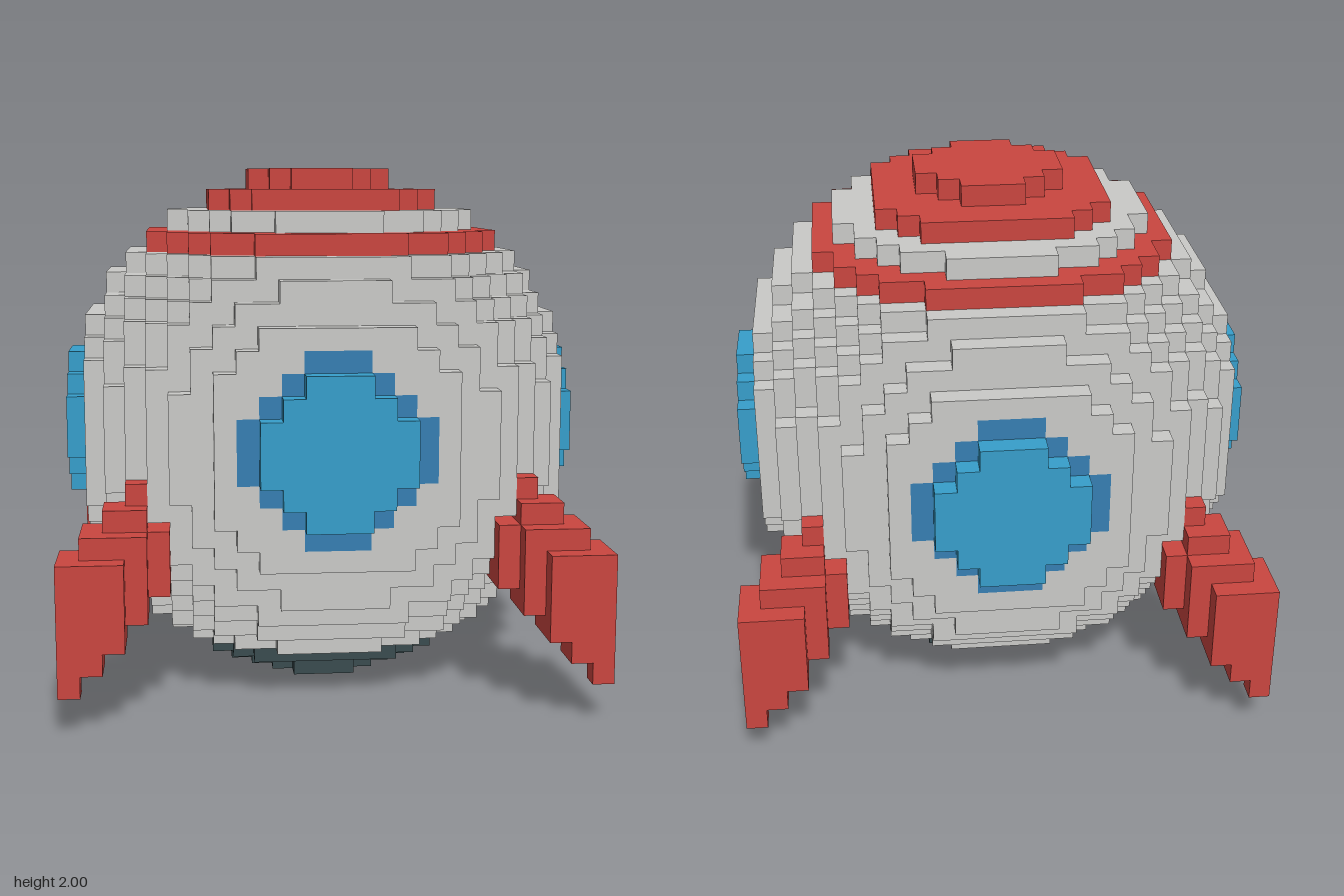
import * as THREE from 'three';

const S = 0.08;      // edge of one block
const N = 12;        // the grid runs from -N to N on each axis
const FIN_DROP = 0.016;

const paint = (name, color) => Object.assign(new THREE.MeshStandardMaterial({ color }), { name });

// Builds the outer faces of every block in "part" that does not touch another block of "solid"
function blockMesh(name, material, part, solid = part, drop = 0) {
  const positions = [], normals = [], index = [];
  const corners = [[-1, -1], [1, -1], [1, 1], [-1, 1]];
  for (let x = -N; x <= N; x++) for (let y = -N; y <= N; y++) for (let z = -N; z <= N; z++) {
    if (!part(x, y, z)) continue;
    for (let axis = 0; axis < 3; axis++) for (const side of [-1, 1]) {
      const n = [0, 0, 0];
      n[axis] = side;
      if (solid(x + n[0], y + n[1], z + n[2])) continue;
      const start = positions.length / 3;
      for (const [u, v] of corners) {
        const p = [x, y, z];
        p[axis] += side / 2;
        p[(axis + 1) % 3] += u * side / 2;
        p[(axis + 2) % 3] += v / 2;
        positions.push(p[0] * S, p[1] * S + 1 - drop, p[2] * S);
        normals.push(...n);
      }
      index.push(start, start + 1, start + 2, start, start + 2, start + 3);
    }
  }
  const geometry = new THREE.BufferGeometry();
  geometry.setAttribute('position', new THREE.Float32BufferAttribute(positions, 3));
  geometry.setAttribute('normal', new THREE.Float32BufferAttribute(normals, 3));
  geometry.setIndex(index);
  const mesh = new THREE.Mesh(geometry, material);
  mesh.name = name;
  return mesh;
}

// Ball with a wider nozzle ring as its lowest layer
function hull(x, y, z) {
  const r2 = x * x + z * z;
  if (y === -N) return r2 <= 17 && r2 > 5;
  return r2 + y * y <= 156;
}

// Which painted part a hull block belongs to
function zone(x, y, z) {
  if (!hull(x, y, z)) return null;
  if (y <= -11) return 'nozzle';
  if (y >= 11) return 'cap';
  if (y === 9) return 'stripe';
  const far = Math.max(Math.abs(x), Math.abs(z));
  if (far === 12) return 'windows';
  const near = Math.min(Math.abs(x), Math.abs(z));
  if (far === 11 && near * near + y * y <= 17) return 'windowFrames';
  return 'body';
}

// Diagonal fin: swept downward away from the hull, thinner toward its top
function fin(x, y, z) {
  const a = Math.max(x, z), b = Math.min(x, z), d = a - b;
  if (b < 8 || a > N || d > 2 || hull(x, y, z)) return false;
  return y >= 2 - b && y <= Math.min(7 - a, -2 - d);
}

export function createModel() {
  const model = new THREE.Group();
  model.name = 'roundRocket';
  const grey = paint('hullGrey', 0xcacac8);
  const red = paint('red', 0xca4640);
  const blue = paint('glassBlue', 0x379fcb);
  const darkBlue = paint('frameBlue', 0x367fb3);
  const dark = paint('nozzleDark', 0x3a4c4f);

  const paints = { body: grey, cap: red, stripe: red, windows: blue, windowFrames: darkBlue, nozzle: dark };
  for (const [name, material] of Object.entries(paints)) {
    model.add(blockMesh(name, material, (x, y, z) => zone(x, y, z) === name, hull));
  }

  // Four fins, one on each diagonal
  for (const sx of [-1, 1]) for (const sz of [-1, 1]) {
    const name = (sz > 0 ? 'front' : 'back') + (sx > 0 ? 'Left' : 'Right') + 'Fin';
    const cells = (x, y, z) => fin(x * sx, y, z * sz);
    model.add(blockMesh(name, red, cells, cells, FIN_DROP));
  }
  return model;
}
